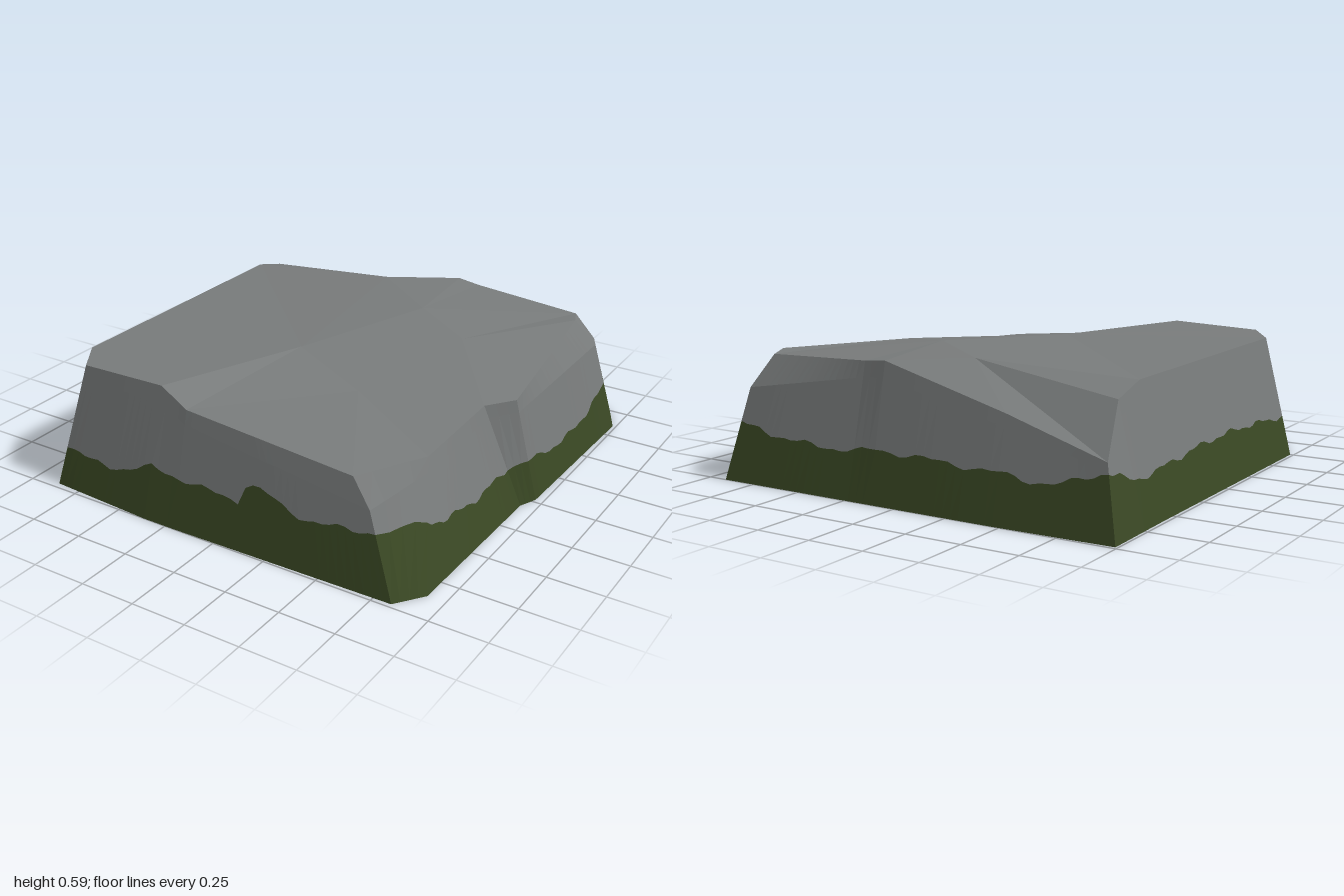
import * as THREE from 'three';

const rock = new THREE.MeshStandardMaterial({ color: 0x787b7b, flatShading: true });
rock.name = 'grey rock';
const moss = new THREE.MeshStandardMaterial({ color: 0x3a4824, flatShading: true });
moss.name = 'dark moss';

// Columns around the slab: base [x,z], rim [x,y,z], moss height, and optionally
// a rounded shoulder [x,y,z] and the sag of the moss line towards the next column.
const columns = [
  { base: [-0.985, 0.75], rim: [-0.87, 0.55, 0.69], moss: 0.18 },
  { base: [-0.87, 0.97], rim: [-0.75, 0.56, 0.86], moss: 0.19, sag: 0.05 },
  { base: [-0.36, 1.0], rim: [-0.33, 0.575, 0.87], moss: 0.23 },
  { base: [-0.2, 1.0], rim: [-0.19, 0.51, 0.89], moss: 0.22, sag: 0.03 },
  { base: [0.83, 0.98], rim: [0.6, 0.44, 0.885], moss: 0.25, shoulder: [0.69, 0.33, 0.91] },
  { base: [0.92, 0.86], rim: [0.76, 0.435, 0.59], moss: 0.22, sag: 0.03 },
  { base: [0.93, 0.06], rim: [0.78, 0.475, 0.15], moss: 0.18 },
  { base: [0.965, -0.02], rim: [0.87, 0.475, 0.03], moss: 0.19, sag: 0.06 },
  { base: [0.985, -0.85], rim: [0.8, 0.55, -0.73], moss: 0.22, shoulder: [0.88, 0.42, -0.8] },
  { base: [0.91, -1.0], rim: [0.76, 0.54, -0.83], moss: 0.25, sag: 0.02, shoulder: [0.83, 0.4, -0.91] },
  { base: [0.23, -1.0], rim: [0.23, 0.56, -0.87], moss: 0.2 },
  { base: [0.12, -1.0], rim: [0.12, 0.57, -0.88], moss: 0.22 },
  { base: [-0.47, -1.0], rim: [-0.47, 0.42, -0.9], moss: 0.2, sag: 0.04 },
  { base: [-0.99, -0.985], rim: [-0.92, 0.29, -0.92], moss: 0.26 },
  { base: [-0.987, -0.75], rim: [-0.87, 0.49, -0.75], moss: 0.19 },
  { base: [-0.985, -0.58], rim: [-0.87, 0.54, -0.58], moss: 0.19, sag: -0.03 },
];

const vec = (p) => new THREE.Vector3(...p);

// Ragged moss line: sagging between columns, with ripples and one tuft in front
function mossHeight(a, b, t, base, along) {
  const sag = (a.sag ?? 0) * Math.sin(Math.PI * t);
  const ripple = 0.009 * Math.sin(19 * along) + 0.006 * Math.sin(43 * along + 1);
  const tuft = base.z > 0.9 && base.x > 0.13 ? 0.08 * Math.exp(-(((base.x - 0.2) / 0.17) ** 2)) : 0;
  return THREE.MathUtils.lerp(a.moss, b.moss, t) - sag + ripple + tuft;
}

function facetMesh(name, triangles, material) {
  const geometry = new THREE.BufferGeometry().setFromPoints(triangles);
  geometry.computeVertexNormals();
  const mesh = new THREE.Mesh(geometry, material);
  mesh.name = name;
  return mesh;
}

export function createModel() {
  const group = new THREE.Group();
  group.name = 'mossy stone slab';

  const cols = columns.map((c) => {
    const base = vec([c.base[0], 0, c.base[1]]);
    const rim = vec(c.rim);
    const shoulder = c.shoulder ? vec(c.shoulder) : base.clone().lerp(rim, 0.88);
    return { ...c, base, rim, shoulder };
  });

  // Wall profiles (base, moss line, shoulder, rim), closely spaced along the outline
  const rings = [];
  let along = 0;
  cols.forEach((a, i) => {
    const b = cols[(i + 1) % cols.length];
    const length = a.base.distanceTo(b.base);
    const steps = Math.ceil(length / 0.04);
    for (let k = 0; k < steps; k++) {
      const t = k / steps;
      const [base, shoulder, rim] = ['base', 'shoulder', 'rim'].map((key) => a[key].clone().lerp(b[key], t));
      const height = mossHeight(a, b, t, base, along + t * length);
      const line = base.clone().lerp(shoulder, Math.min(height / shoulder.y, 0.97));
      rings.push([base, line, shoulder, rim]);
    }
    along += length;
  });

  const mossFaces = [], wallFaces = [], baseFaces = [];
  const centre = new THREE.Vector3();
  rings.forEach((a, i) => {
    const b = rings[(i + 1) % rings.length];
    for (let r = 0; r < 3; r++) {
      (r === 0 ? mossFaces : wallFaces).push(a[r], b[r], b[r + 1], a[r], b[r + 1], a[r + 1]);
    }
    baseFaces.push(centre, b[0], a[0]);
  });

  // Top facets: sixteen rim points followed by five inner points
  const [P, Q, R, S, T] = [16, 17, 18, 19, 20];
  const points = cols.map((c) => c.rim).concat([
    [0.18, 0.59, -0.4], [-0.18, 0.58, -0.68], [0.47, 0.56, -0.24],
    [-0.08, 0.565, 0.22], [0.3, 0.505, 0.36],
  ].map(vec));
  const fans = [S, S, S, T, T, T, R, R, R, P, P, Q, Q, Q, Q, S];
  const topFaces = fans.map((inner, i) => [inner, i, (i + 1) % 16]).concat([
    [3, T, S], [6, R, T], [9, P, R], [11, Q, P], [15, S, Q],
    [S, T, R], [S, R, P], [S, P, Q],
  ]).flat().map((i) => points[i]);

  group.add(
    facetMesh('rock top', topFaces, rock),
    facetMesh('rock walls', wallFaces, rock),
    facetMesh('moss band', mossFaces, moss),
    facetMesh('underside', baseFaces, moss),
  );
  return group;
}
